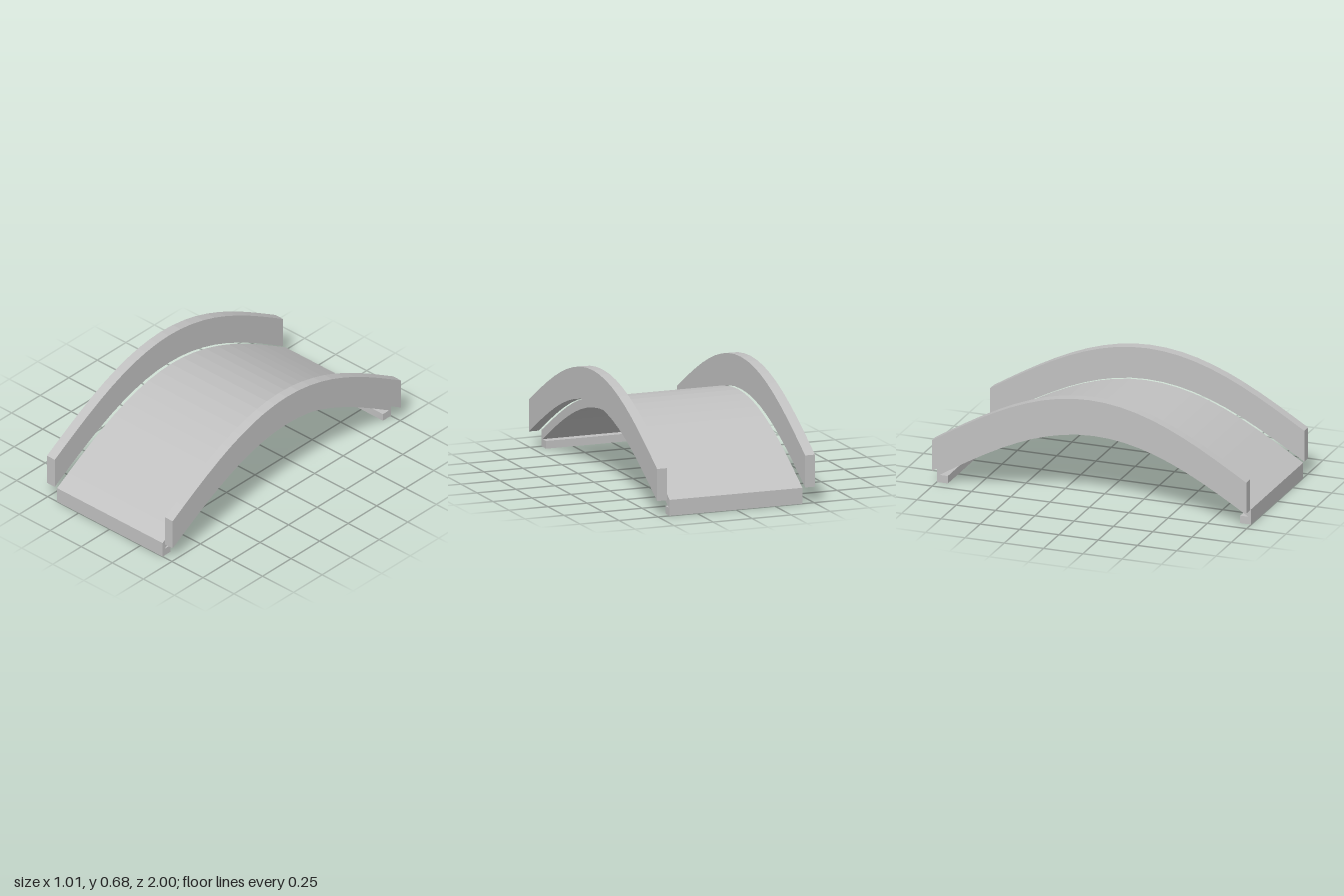
import * as THREE from 'three';

const SEGMENTS = 20;

// Points of the cosine arch from z = -reach to z = reach, as (z, y)
function arch(base, rise, reach = 1) {
  const points = [];
  for (let i = 0; i <= SEGMENTS; i++) {
    const z = reach * (-1 + (2 * i) / SEGMENTS);
    points.push(new THREE.Vector2(z, base + rise * Math.cos((z * Math.PI) / 2)));
  }
  return points;
}

// Extrude a (z, y) side profile across x, centred on the given x
function sideProfile(name, points, width, x, material) {
  const geometry = new THREE.ExtrudeGeometry(new THREE.Shape(points), {
    depth: width, bevelEnabled: false, steps: 1,
  });
  geometry.translate(0, 0, -width / 2);
  geometry.rotateY(-Math.PI / 2);
  const mesh = new THREE.Mesh(geometry, material);
  mesh.name = name;
  mesh.position.x = x;
  return mesh;
}

export function createModel() {
  const model = new THREE.Group();
  model.name = 'archedBridge';

  const stone = new THREE.MeshStandardMaterial({ color: 0xc0c0c0, flatShading: true });
  stone.name = 'light grey';

  const v = (z, y) => new THREE.Vector2(z, y);
  const deckTop = arch(0.097, 0.388);

  // Curved deck with an inward foot at each end
  const foot = [v(1, 0), v(0.93, 0), v(0.93, 0.047), v(0.983, 0.047)];
  const mirroredFoot = foot.map((p) => v(-p.x, p.y)).reverse();
  const underside = arch(0.037, 0.388, 0.97).reverse();
  model.add(sideProfile('deck', [...deckTop, ...foot, ...underside, ...mirroredFoot], 0.85, 0, stone));

  // Parapets standing just outside the deck on both sides
  const parapet = [...deckTop, ...arch(0.292, 0.388).reverse()];
  for (const [name, side] of [['leftParapet', 1], ['rightParapet', -1]]) {
    model.add(sideProfile(name, parapet, 0.063, side * 0.4745, stone));
  }

  return model;
}
